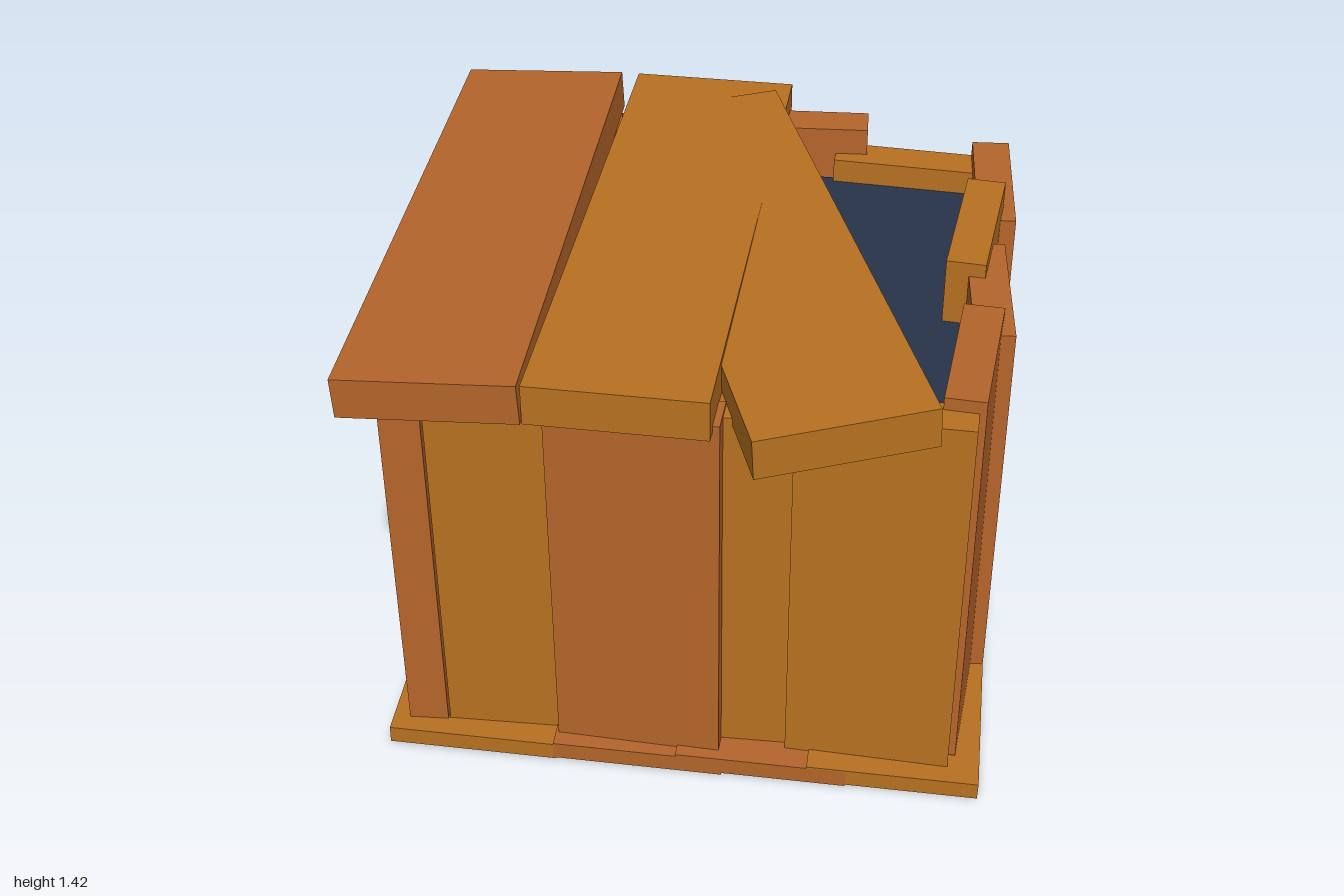
import * as THREE from 'three';

const paint = (color) => new THREE.MeshStandardMaterial({ color, flatShading: true });

export function createModel() {
  const crate = new THREE.Group();
  crate.name = 'crate';
  const amber = paint(0xb87121);
  const red = paint(0xb5652b);
  const dark = paint(0x283449);

  function board(name, material, size, position, rotation = [0, 0, 0]) {
    const mesh = new THREE.Mesh(new THREE.BoxGeometry(...size), material);
    mesh.name = name;
    mesh.position.set(...position);
    mesh.rotation.set(...rotation);
    crate.add(mesh);
  }

  // Floor boards, overlapping and slightly tipped
  [[-0.623, 0.048, amber], [-0.11, 0.042, red], [0.27, 0.042, red], [0.673, 0.04, amber]]
    .forEach(([x, y, m], i) =>
      board(`floorBoard${i + 1}`, m, [0.523, 0.058, 1.845], [x, y, -0.062], [0, 0, -0.02]));

  // Dark contents
  board('contents', dark, [1.54, 1.1, 1.5], [0.02, 0.62, -0.06]);

  // Upright wall boards: x, z, top height, yaw, lean in the wall plane, material
  const base = 0.065;
  const walls = {
    right: [
      [0.82, 0.48, 1.372, -0.08, -0.03, red],
      [0.855, 0.078, 1.34, 0.08, 0, red],
      [0.805, -0.23, 1.385, -0.1, 0, amber],
      [0.855, -0.63, 1.3, 0.06, 0, red],
    ],
    left: [
      [-0.79, 0.55, 1.3, 0.07, 0, red],
      [-0.77, 0.25, 1.31, -0.05, 0, red],
      [-0.81, -0.08, 1.3, 0.05, 0, amber],
      [-0.8, -0.55, 1.3, -0.05, 0, amber],
    ],
    front: [
      [-0.46, 0.72, 1.3, 0.04, 0, amber],
      [-0.11, 0.755, 1.31, -0.03, 0, red],
      [0.15, 0.705, 1.3, 0.03, 0, amber],
      [0.59, 0.73, 1.34, -0.03, 0, amber],
    ],
    back: [
      [0.58, -0.83, 1.25, -0.067, 0, amber],
      [0.18, -0.885, 1.34, 0.05, 0, red],
      [-0.12, -0.83, 1.31, -0.04, 0, amber],
      [-0.51, -0.86, 1.3, 0.04, 0, amber],
    ],
  };
  for (const [side, boards] of Object.entries(walls)) {
    const across = side === 'front' || side === 'back';
    boards.forEach(([x, z, top, yaw, lean, m], i) => {
      const h = top - base;
      board(`${side}WallBoard${i + 1}`, m,
        across ? [0.5, h, 0.12] : [0.12, h, 0.5],
        [x, base + h / 2, z],
        across ? [0, yaw, lean] : [lean, yaw, 0]);
    });
  }

  // Lid boards, one knocked askew across the opening
  const lid = [0.525, 0.128, 1.85];
  board('lidBoardLeft', red, lid, [-0.675, 1.349, -0.062], [0, 0, 0.045]);
  board('lidBoardMiddle', amber, lid, [-0.122, 1.352, -0.07], [0, -0.026, 0]);
  board('lidBoardLoose', amber, lid, [0.182, 1.349, 0.037], [0, 0.343, 0.05]);

  return crate;
}
